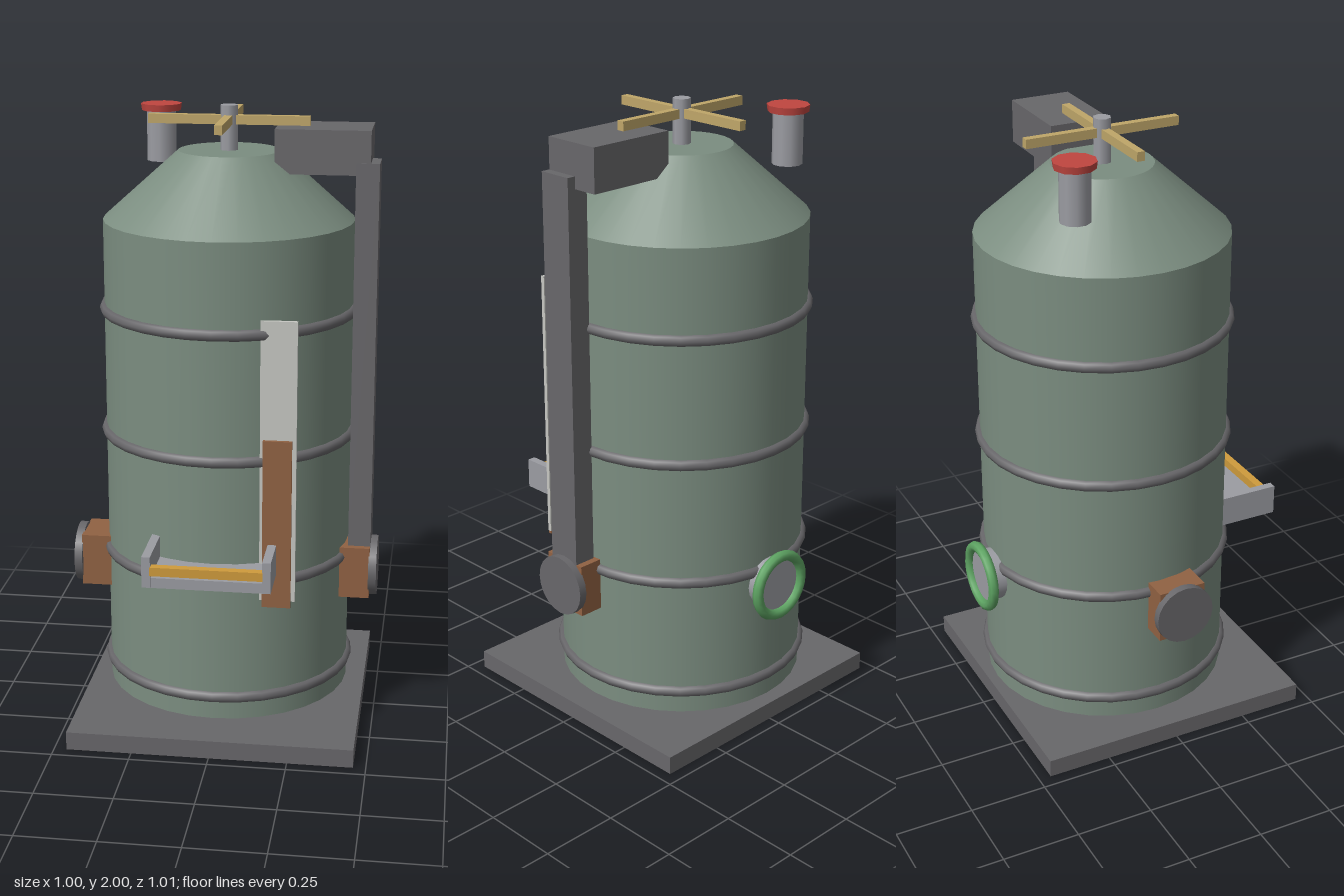
import * as THREE from 'three';

const paint = (name, color) => {
  const m = new THREE.MeshStandardMaterial({ color });
  m.name = name;
  return m;
};

export function createModel() {
  const group = new THREE.Group();
  const green = paint('sage tank', 0x7b8d80);
  const dark = paint('dark iron', 0x68676a);
  const brown = paint('copper brown', 0x916243);
  const steel = paint('light steel', 0x9b9ca2);
  const tan = paint('tan', 0xbfa669);
  const gold = paint('gold', 0xcf9b3c);
  const red = paint('red', 0xc04640);
  const leaf = paint('bright green', 0x5da362);
  const pale = paint('pale plate', 0xc6c7c2);
  const CZ = -0.043; // tank axis in z

  const add = (name, geo, mat, x, y, z) => {
    const mesh = new THREE.Mesh(geo, mat);
    mesh.name = name;
    mesh.position.set(x, y, z);
    group.add(mesh);
    return mesh;
  };
  // box given by its limits on each axis
  const box = (name, mat, [x0, x1], [y0, y1], [z0, z1]) =>
    add(name, new THREE.BoxGeometry(x1 - x0, y1 - y0, z1 - z0), mat,
      (x0 + x1) / 2, (y0 + y1) / 2, (z0 + z1) / 2);
  // upright cylinder given by its lower and upper height
  const drum = (name, mat, rTop, rBottom, y0, y1, x, z, sides) =>
    add(name, new THREE.CylinderGeometry(rTop, rBottom, y1 - y0, sides), mat, x, (y0 + y1) / 2, z);

  // base and tank
  box('base', dark, [-0.46, 0.46], [0, 0.06], [-0.46, 0.46]);
  drum('tank', green, 0.4, 0.4, 0.09, 1.645, 0, CZ, 32);
  drum('tankShoulder', green, 0.16, 0.4, 1.645, 1.86, 0, CZ, 32);
  for (const y of [0.165, 0.555, 0.957, 1.36]) {
    add('hoop', new THREE.TorusGeometry(0.397, 0.019, 8, 32), dark, 0, y, CZ).rotation.x = Math.PI / 2;
  }

  // hand wheel on top
  drum('wheelSpindle', steel, 0.028, 0.028, 1.85, 2.0, 0, CZ, 8);
  box('wheelBarAcross', tan, [-0.255, 0.255], [1.94, 1.969], [CZ - 0.0125, CZ + 0.0125]);
  box('wheelBarAlong', tan, [-0.0125, 0.0125], [1.941, 1.97], [CZ - 0.255, CZ + 0.255]);

  // capped vent
  drum('ventPipe', steel, 0.048, 0.048, 1.79, 1.953, -0.25, -0.253, 10);
  drum('ventCap', red, 0.067, 0.064, 1.953, 1.975, -0.25, -0.253, 10);

  // duct on the left side
  box('ductTop', dark, [0.153, 0.45], [1.802, 1.94], [CZ - 0.098, CZ + 0.098]);
  box('ductDrop', dark, [0.405, 0.478], [0.57, 1.84], [-0.057, 0.057]);

  // side ports
  for (const s of [-1, 1]) {
    add('portBlock', new THREE.BoxGeometry(0.11, 0.173, 0.158), brown, s * 0.422, 0.503, 0);
    add('portLid', new THREE.CylinderGeometry(0.098, 0.098, 0.026, 20), dark,
      s * 0.487, 0.505, 0).rotation.z = Math.PI / 2;
  }

  // rear sight glass
  add('rearPipe', new THREE.CylinderGeometry(0.085, 0.085, 0.1, 20), steel, 0, 0.505, -0.435).rotation.x = Math.PI / 2;
  add('rearRing', new THREE.TorusGeometry(0.1, 0.0175, 8, 24), leaf, 0, 0.505, -0.4875);

  // front tray
  box('trayFloor', steel, [-0.175, 0.175], [0.59, 0.623], [0.27, 0.495]);
  for (const s of [-1, 1]) {
    add('trayWall', new THREE.BoxGeometry(0.027, 0.1, 0.23), steel, s * 0.186, 0.642, 0.385);
  }
  box('trayLip', gold, [-0.175, 0.175], [0.632, 0.66], [0.476, 0.503]);

  // level gauge
  box('gaugePlate', pale, [0.145, 0.258], [0.5, 1.405], [0.322, 0.335]);
  box('gaugeSlide', brown, [0.155, 0.245], [0.482, 1.03], [0.335, 0.347]);

  return group;
}
